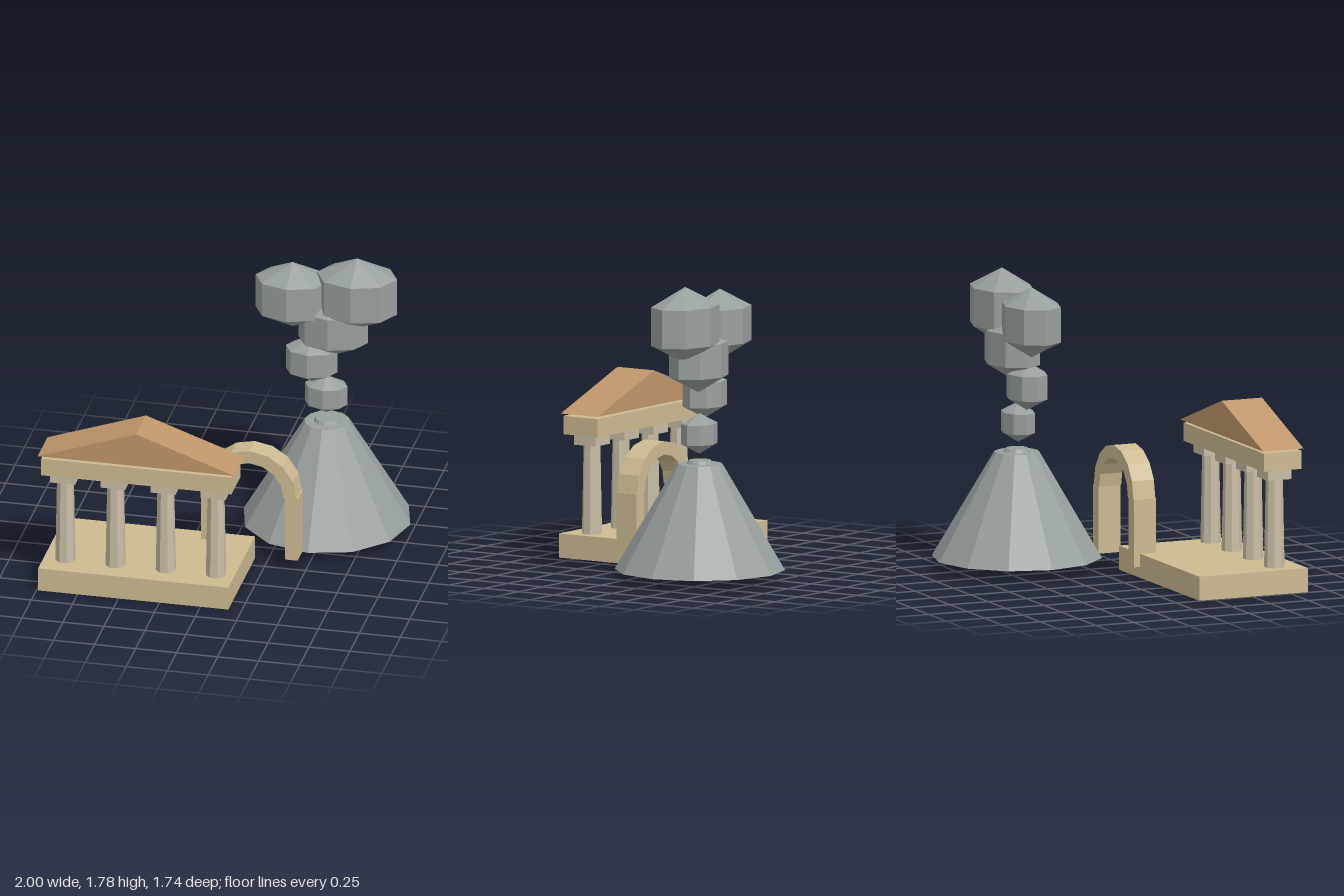
import * as THREE from 'three';

export function createModel() {
  const model = new THREE.Group();
  const paint = (name, color) => {
    const m = new THREE.MeshStandardMaterial({ color, flatShading: true });
    m.name = name;
    return m;
  };
  const sandstone = paint('sandstone', 0xcdba91);
  const marble = paint('pale marble', 0xc9bea5);
  const terracotta = paint('terracotta', 0xc0966a);
  const rock = paint('grey rock', 0x98a09e);

  const add = (parent, name, geometry, material, x = 0, y = 0, z = 0) => {
    const mesh = new THREE.Mesh(geometry, material);
    mesh.name = name;
    mesh.position.set(x, y, z);
    parent.add(mesh);
    return mesh;
  };
  const group = (name) => {
    const g = new THREE.Group();
    g.name = name;
    model.add(g);
    return g;
  };
  // Box given by its lower and upper corners
  const box = (parent, name, material, [x0, y0, z0], [x1, y1, z1]) =>
    add(parent, name, new THREE.BoxGeometry(x1 - x0, y1 - y0, z1 - z0), material,
      (x0 + x1) / 2, (y0 + y1) / 2, (z0 + z1) / 2);

  // Temple: platform, four columns, beam and gabled roof
  const temple = group('temple');
  box(temple, 'platform', sandstone, [-0.99, 0, 0.155], [0.17, 0.145, 0.865]);
  for (let i = 0; i < 4; i++) {
    const x = -0.86 + i * 0.306;
    const shaft = new THREE.CylinderGeometry(0.051, 0.061, 0.535, 8);
    shaft.rotateY(Math.PI / 8);
    add(temple, 'columnShaft', shaft, marble, x, 0.4125, 0.703);
    box(temple, 'columnCapital', marble, [x - 0.076, 0.68, 0.626], [x + 0.076, 0.745, 0.78]);
  }
  box(temple, 'beam', sandstone, [-0.98, 0.745, 0.58], [0.18, 0.855, 0.826]);
  const gable = new THREE.Shape([
    new THREE.Vector2(-0.6, 0), new THREE.Vector2(0.6, 0), new THREE.Vector2(0, 0.21),
  ]);
  add(temple, 'roof', new THREE.ExtrudeGeometry(gable, { depth: 0.263, bevelEnabled: false }),
    terracotta, -0.4, 0.871, 0.568);

  // Arch: two straight legs and a faceted half ring
  const arch = group('arch');
  for (const side of [-1, 1]) {
    const x = 0.16 + side * 0.255;
    box(arch, 'archLeg', sandstone, [x - 0.039, 0.065, 0.115], [x + 0.039, 0.472, 0.26]);
  }
  const arc = (r) => Array.from({ length: 9 }, (_, i) => {
    const a = (i * Math.PI) / 8;
    return new THREE.Vector2(r * Math.cos(a), r * Math.sin(a));
  });
  const ring = new THREE.Shape([...arc(0.287), ...arc(0.207).reverse()]);
  add(arch, 'archRing', new THREE.ExtrudeGeometry(ring, { depth: 0.143, bevelEnabled: false }),
    sandstone, 0.16, 0.47, 0.116);

  // Volcano cone with a low crater plug
  const volcano = group('volcano');
  add(volcano, 'cone', new THREE.CylinderGeometry(0.135, 0.508, 0.635, 12), rock, 0.49, 0.3825, -0.365);
  add(volcano, 'craterPlug', new THREE.CylinderGeometry(0.068, 0.08, 0.022, 12), rock, 0.49, 0.71, -0.365);

  // Smoke puffs: faceted balls stretched sideways [radius, x, y, z]
  const smoke = group('smoke');
  const puffs = [
    [0.122, 0.487, 0.88, -0.36],
    [0.148, 0.402, 1.11, -0.34],
    [0.2, 0.525, 1.332, -0.38],
    [0.212, 0.28, 1.513, -0.365],
    [0.23, 0.67, 1.553, -0.382],
  ];
  for (const [r, x, y, z] of puffs) {
    add(smoke, 'smokePuff', new THREE.SphereGeometry(r, 8, 3), rock, x, y, z).scale.set(1.225, 1, 0.92);
  }

  return model;
}
